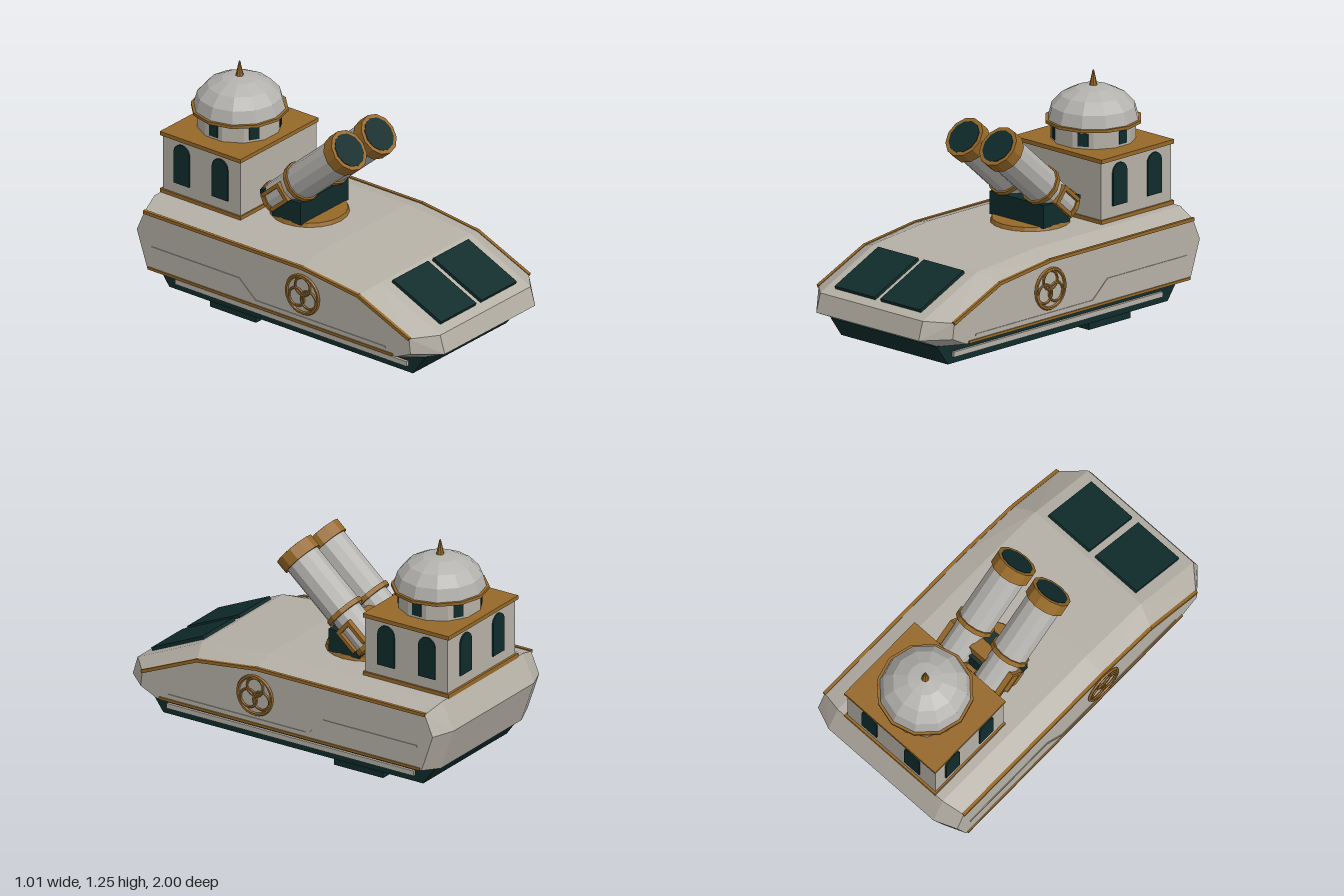
import * as THREE from 'three';
import { ConvexGeometry } from 'three/addons/geometries/ConvexGeometry.js';

const mat = (name, color, extra = {}) => {
  const m = new THREE.MeshStandardMaterial({ color, flatShading: true, ...extra });
  m.name = name;
  return m;
};

export function createModel() {
  const stone = mat('warm stone', 0xb5b0a6);
  const steel = mat('pale steel', 0xb4b2ae);
  const gold = mat('old gold', 0x966828);
  const dark = mat('dark teal', 0x102b2b);
  const glow = mat('pad plate', 0xc2b4b1);
  const root = new THREE.Group();
  root.name = 'hoverTank';

  const add = (name, geo, material, x = 0, y = 0, z = 0, parent = root) => {
    const m = new THREE.Mesh(geo, material);
    m.name = name;
    m.position.set(x, y, z);
    parent.add(m);
    return m;
  };
  // Box given by its min and max on each axis
  const box = (name, material, [x0, x1], [y0, y1], [z0, z1], parent = root) =>
    add(name, new THREE.BoxGeometry(x1 - x0, y1 - y0, z1 - z0), material,
      (x0 + x1) / 2, (y0 + y1) / 2, (z0 + z1) / 2, parent);
  // Thin strips on a hull side following [z, y] points
  const strip = (name, material, pts, side, width, x0, x1) => {
    for (let i = 0; i < pts.length - 1; i++) {
      const [za, ya] = pts[i], [zb, yb] = pts[i + 1];
      const len = Math.hypot(zb - za, yb - ya);
      const m = add(name, new THREE.BoxGeometry(x1 - x0, width, len + width * 0.4), material,
        side * (x0 + x1) / 2, (ya + yb) / 2, (za + zb) / 2);
      m.rotation.x = -Math.atan2(yb - ya, zb - za);
    }
  };

  // Hull: a full profile in the middle, an inset profile on the sides ([z, y])
  const inner = [[1, 0.22], [0.97, 0.32], [0.57, 0.5], [0.15, 0.54], [-0.93, 0.54],
    [-1, 0.39], [-0.92, 0.16], [0.86, 0.16]];
  const outer = [[0.87, 0.225], [0.86, 0.31], [0.52, 0.455], [0.15, 0.5], [-0.9, 0.5],
    [-0.95, 0.385], [-0.88, 0.18], [0.77, 0.18]];
  const hullPts = [];
  for (const s of [-1, 1]) {
    for (const [z, y] of inner) hullPts.push(new THREE.Vector3(s * 0.37, y, z));
    for (const [z, y] of outer) hullPts.push(new THREE.Vector3(s * 0.49, y, z));
  }
  add('hull', new ConvexGeometry(hullPts), stone);

  // Underbody with sloping ends
  const under = [];
  for (const x of [-0.385, 0.385]) {
    for (const [z, y] of [[0.88, 0.165], [-0.9, 0.165], [-0.82, 0.055], [0.8, 0.055]]) {
      under.push(new THREE.Vector3(x, y, z));
    }
  }
  add('underbody', new ConvexGeometry(under), dark);

  // Windscreen panes lying on the sloping nose
  const slope = Math.atan2(0.18, 0.4);
  for (const s of [-1, 1]) {
    const pane = add('windscreen', new THREE.BoxGeometry(0.288, 0.018, 0.352), dark,
      s * 0.165, 0.424, 0.763);
    pane.rotation.x = slope;
  }

  // Side trims, emblem, rails and pads
  for (const s of [-1, 1]) {
    strip('upperTrim', gold, outer.slice(1, 5), s, 0.018, 0.48, 0.498);
    strip('lowerTrim', gold, [[0.75, 0.187], [-0.87, 0.187]], s, 0.014, 0.48, 0.497);
    strip('panelLine', stone, [[0.7, 0.215], [-0.16, 0.215], [-0.27, 0.31], [-0.85, 0.31]],
      s, 0.012, 0.485, 0.494);

    const emblem = new THREE.Group();
    emblem.name = 'sideEmblem';
    emblem.position.set(s * 0.494, 0.35, 0.155);
    emblem.rotation.y = s * Math.PI / 2;
    root.add(emblem);
    add('emblemRing', new THREE.TorusGeometry(0.105, 0.01, 6, 28), gold, 0, 0, 0, emblem);
    for (let i = 0; i < 3; i++) {
      const a = Math.PI / 2 + i * Math.PI * 2 / 3;
      add('emblemLoop', new THREE.TorusGeometry(0.05, 0.007, 6, 20), gold,
        Math.cos(a) * 0.046, Math.sin(a) * 0.046, 0, emblem);
    }

    const span = (a, b) => (s > 0 ? [a, b] : [-b, -a]);
    box('sideRail', stone, span(0.38, 0.4), [0.09, 0.118], [-0.77, 0.77]);
    box('pad', dark, span(0.14, 0.37), [0.015, 0.06], [-0.56, -0.255]);
    box('padPlate', glow, span(0.185, 0.335), [0, 0.016], [-0.525, -0.29]);
  }

  // Tower
  const tz = -0.665;
  box('towerBase', gold, [-0.32, 0.32], [0.535, 0.56], [-0.935, -0.4]);
  box('towerBody', stone, [-0.31, 0.31], [0.55, 0.87], [-0.922, -0.407]);
  box('towerRoof', gold, [-0.32, 0.32], [0.865, 0.887], [-0.935, -0.4]);

  // Arched windows on both sides and the back
  const arch = new THREE.Shape();
  arch.moveTo(-0.052, 0.62);
  arch.lineTo(0.052, 0.62);
  arch.lineTo(0.052, 0.795);
  arch.absarc(0, 0.795, 0.052, 0, Math.PI, false);
  const archGeo = new THREE.ExtrudeGeometry(arch, { depth: 0.009, bevelEnabled: false, curveSegments: 8 });
  for (const s of [-1, 1]) {
    for (const z of [-0.54, -0.795]) {
      add('archedWindow', archGeo, dark, s * 0.309, 0, z).rotation.y = s * Math.PI / 2;
    }
    add('archedWindow', archGeo, dark, s * 0.15, 0, -0.921).rotation.y = Math.PI;
  }

  // Drum with six small windows, ring, faceted dome and spike
  add('drum', new THREE.CylinderGeometry(0.22, 0.22, 0.11, 12), stone, 0, 0.935, tz)
    .rotation.y = Math.PI / 12;
  for (let i = 0; i < 6; i++) {
    const a = Math.PI / 2 + i * Math.PI / 3;
    add('drumWindow', new THREE.BoxGeometry(0.056, 0.07, 0.009), dark,
      Math.sin(a) * 0.213, 0.935, tz + Math.cos(a) * 0.213).rotation.y = a;
  }
  add('drumRing', new THREE.CylinderGeometry(0.255, 0.255, 0.016, 12), gold, 0, 0.992, tz);
  add('dome', new THREE.SphereGeometry(0.24, 12, 4, 0, Math.PI * 2, 0, Math.PI / 2), steel, 0, 1, tz)
    .scale.y = 0.73;
  add('spike', new THREE.CylinderGeometry(0.004, 0.022, 0.085, 8), gold, 0, 1.2095, tz);

  // Gun mount
  add('turntable', new THREE.CylinderGeometry(0.2, 0.21, 0.025, 20), gold, 0, 0.548, -0.2);
  box('gunMount', dark, [-0.195, 0.195], [0.555, 0.68], [-0.29, -0.1]);
  box('mountBlock', gold, [-0.055, 0.055], [0.66, 0.75], [-0.27, -0.19]);
  box('rearBar', dark, [-0.2, 0.2], [0.66, 0.685], [-0.365, -0.345]);

  // Twin barrels, built along local z and tilted up
  const tube = (r, z0, z1) => new THREE.CylinderGeometry(r, r, z1 - z0, 12)
    .rotateX(Math.PI / 2).translate(0, 0, (z0 + z1) / 2);
  for (const s of [-1, 1]) {
    const gun = new THREE.Group();
    gun.name = 'gun';
    gun.position.set(s * 0.122, 0.612, -0.33);
    gun.rotation.x = -41 * Math.PI / 180;
    root.add(gun);
    add('breech', tube(0.087, 0.005, 0.24), steel, 0, 0, 0, gun);
    add('barrel', tube(0.1, 0.22, 0.62), steel, 0, 0, 0, gun);
    add('breechBand', tube(0.094, 0, 0.028), gold, 0, 0, 0, gun);
    add('midBand', tube(0.11, 0.22, 0.246), gold, 0, 0, 0, gun);
    add('muzzleRing', tube(0.114, 0.582, 0.653), gold, 0, 0, 0, gun);
    add('bore', tube(0.093, 0.647, 0.656), dark, 0, 0, 0, gun);
    // Bracket frame on the outer side
    const bx = s > 0 ? [0.07, 0.1] : [-0.1, -0.07];
    for (const y of [-0.045, 0.045]) {
      box('bracketBar', gold, bx, [y - 0.01, y + 0.01], [0.03, 0.17], gun);
    }
    box('bracketEnd', gold, bx, [-0.055, 0.055], [0.15, 0.172], gun);
  }
  return root;
}
